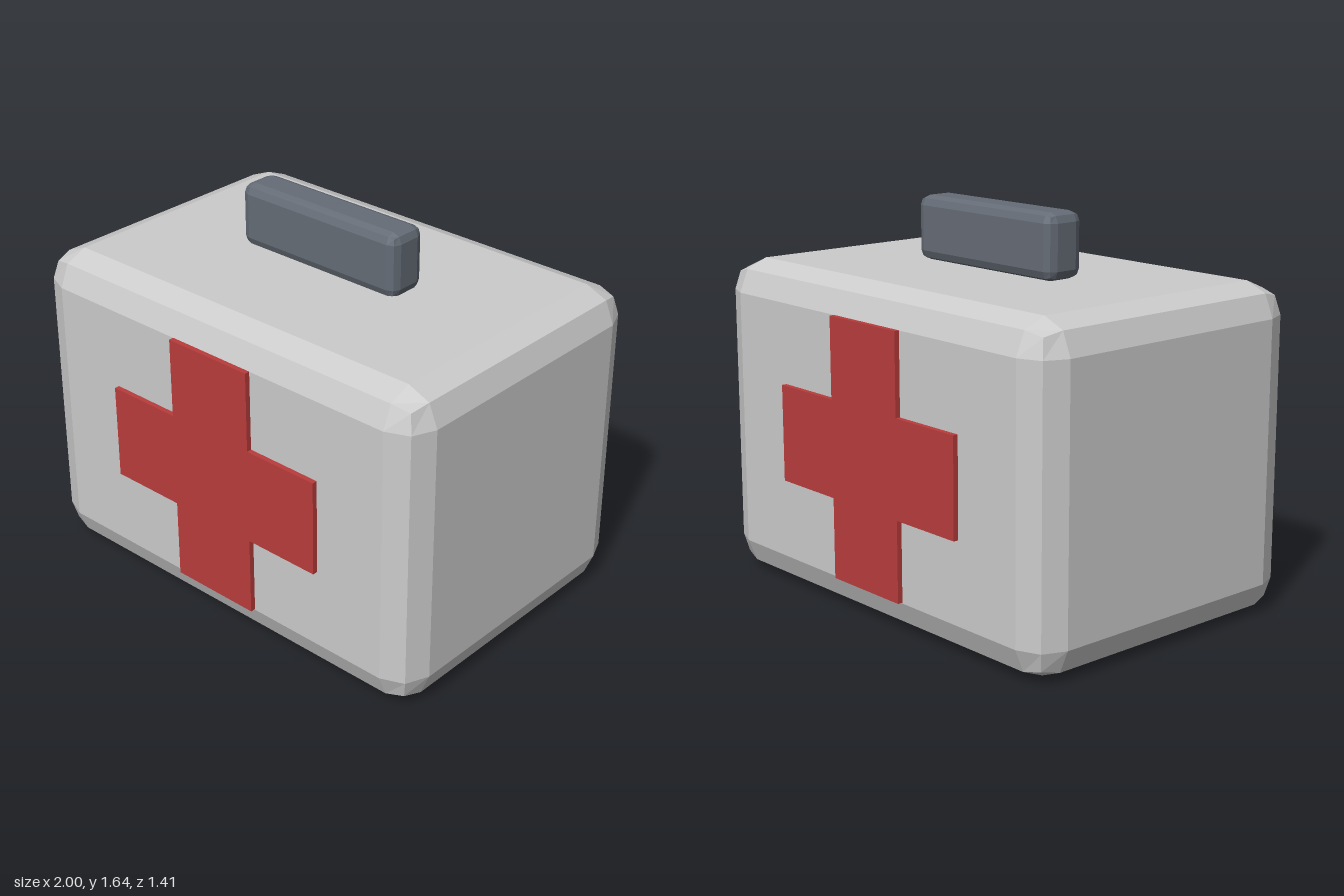
import * as THREE from 'three';
import { RoundedBoxGeometry } from 'three/addons/geometries/RoundedBoxGeometry.js';

const mat = (color) => new THREE.MeshStandardMaterial({ color, flatShading: true });

// Box with faceted, two-step bevelled edges, standing on height y
function bevelledBox(name, w, h, d, radius, y, material) {
  const geometry = new RoundedBoxGeometry(w, h, d, 1, radius);
  geometry.computeVertexNormals();
  const mesh = new THREE.Mesh(geometry, material);
  mesh.name = name;
  mesh.position.y = y + h / 2;
  return mesh;
}

// Plus-shaped plate centred on the origin, extruded towards +z
function crossGeometry(reach, half, depth) {
  const shape = new THREE.Shape();
  for (let i = 0; i < 4; i++) {
    const c = Math.round(Math.cos(i * Math.PI / 2)), s = Math.round(Math.sin(i * Math.PI / 2));
    for (const [x, y] of [[reach, -half], [reach, half], [half, half]]) {
      const px = x * c - y * s, py = x * s + y * c;
      if (shape.curves.length === 0 && i === 0 && y < 0) shape.moveTo(px, py);
      else shape.lineTo(px, py);
    }
  }
  shape.closePath();
  return new THREE.ExtrudeGeometry(shape, { depth, bevelEnabled: false });
}

export function createModel() {
  const group = new THREE.Group();
  group.name = 'firstAidCase';

  const height = 1.365, depth = 1.364;
  group.add(bevelledBox('caseBody', 2, height, depth, 0.136, 0, mat(0xcccccc)));
  group.add(bevelledBox('handle', 0.815, 0.272, 0.18, 0.041, height, mat(0x656c76)));

  // Raised crosses on the front and back
  const red = mat(0xba3c3c);
  const cross = crossGeometry(0.545, 0.205, 0.034);
  for (const side of [1, -1]) {
    const mesh = new THREE.Mesh(cross, red);
    mesh.name = side > 0 ? 'frontCross' : 'backCross';
    mesh.position.set(0, height / 2 + 0.002, side * 0.67);
    if (side < 0) mesh.rotation.y = Math.PI;
    group.add(mesh);
  }
  return group;
}
